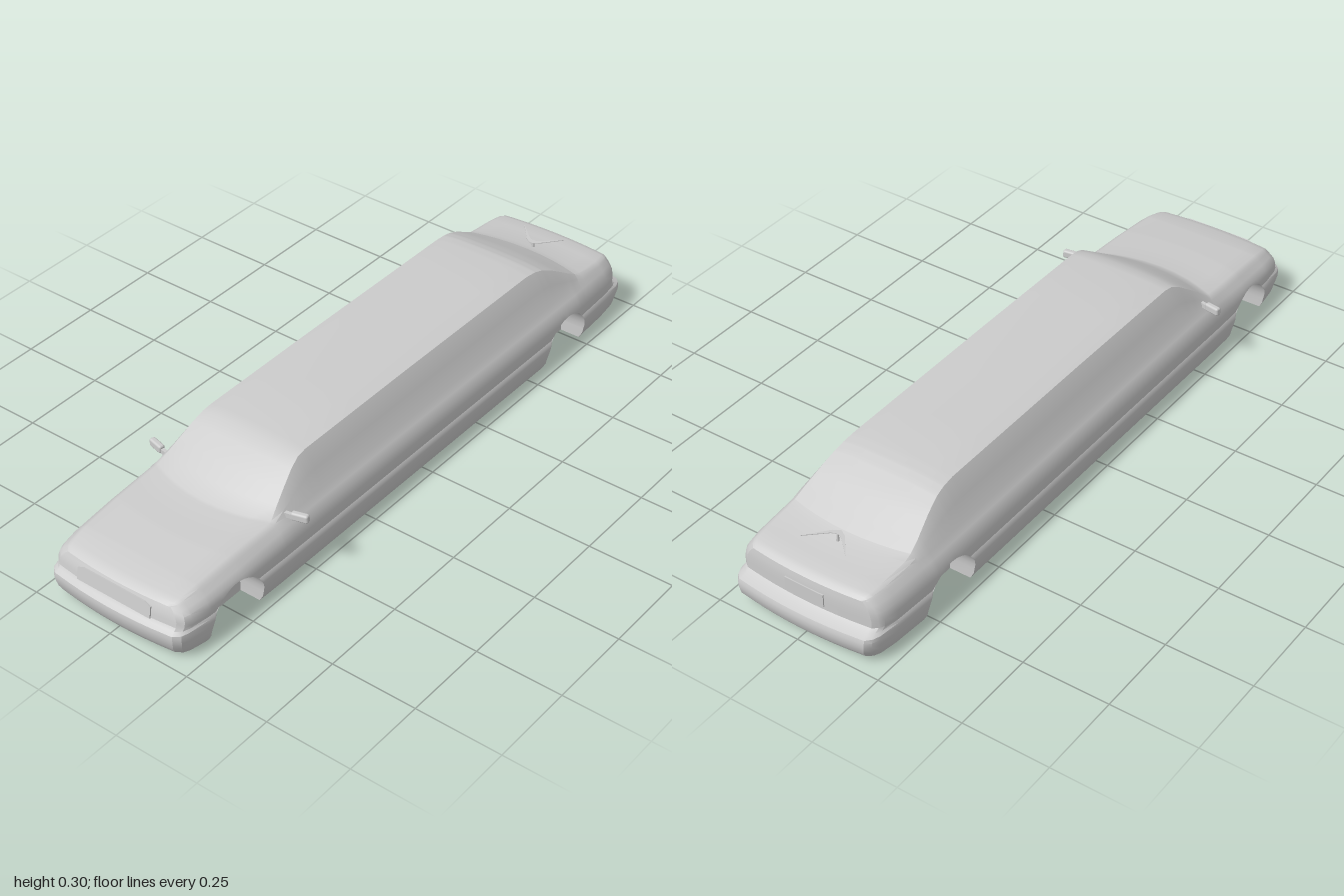
import * as THREE from 'three';
import { toCreasedNormals } from 'three/addons/utils/BufferGeometryUtils.js';
import { RoundedBoxGeometry } from 'three/addons/geometries/RoundedBoxGeometry.js';

const material = new THREE.MeshStandardMaterial({ color: 0xcccccc });
const thin = new THREE.MeshStandardMaterial({ color: 0xcccccc, side: THREE.DoubleSide });

// Linear lookup in rows [key, value, value...] sorted by key
function lookup(rows, k) {
  if (k <= rows[0][0]) return rows[0].slice(1);
  for (let i = 1; i < rows.length; i++) {
    if (k <= rows[i][0]) {
      const a = rows[i - 1], b = rows[i], t = (k - a[0]) / (b[0] - a[0]);
      return a.slice(1).map((v, n) => v + (b[n + 1] - v) * t);
    }
  }
  return rows[rows.length - 1].slice(1);
}

// Along the length: z, centre height, belt height, width factor, forward bow, floor height
const LENGTH = [
  [-1, .173, .173, .84, 0, .02], [-.985, .181, .174, .9, 0, .018], [-.96, .186, .176, .935, 0, .016],
  [-.88, .19, .178, .965, -.01, .01], [-.79, .197, .182, .985, -.03, .003], [-.765, .205, .183, .99, -.03, 0],
  [-.73, .226, .184, 1, -.025, 0], [-.67, .266, .185, 1, -.01, 0], [-.63, .288, .185, 1, 0, 0],
  [-.6, .297, .185, 1, 0, 0], [-.56, .302, .185, 1, 0, 0], [0, .304, .185, 1, 0, 0],
  [.42, .302, .185, 1, 0, 0], [.45, .297, .185, 1, .005, 0], [.48, .279, .185, 1, .015, 0],
  [.59, .191, .182, 1, .05, 0], [.6, .189, .178, 1, .05, 0], [.75, .182, .168, .99, .03, 0],
  [.88, .171, .158, .965, 0, .005], [.96, .16, .152, .93, 0, .012], [.985, .155, .149, .9, 0, .016],
  [1, .147, .147, .83, 0, .018],
];
// Body side: y, half width
const SIDE = [[0, .214], [.02, .225], [.04, .229], [.06, .234], [.075, .235], [.085, .234], [.092, .23],
  [.1, .231], [.125, .232], [.15, .227], [.17, .216], [.185, .203]];
// Greenhouse: half width on hood, half width on cabin, share of height
const TOP = [[.199, .185, .504], [.19, .155, .924], [.14, .13, .96], [.1, .1, .983], [.05, .05, .995], [0, 0, 1]];
// Bumper and nose/tail outline: y, z
const NOSE = [[0, .965], [.02, .98], [.04, .992], [.07, 1], [.085, .998], [.092, .986], [.1, .98], [.125, .976], [.15, .965]];
const TAIL = [[0, .965], [.02, .98], [.04, .994], [.07, 1], [.085, .995], [.092, .975], [.1, .962], [.15, .962], [.173, .958]];

// Wheel arches
const ARCHES = [.775, -.67], RADIUS = .095, SPRING = .036;
function archHeight(z) {
  for (const c of ARCHES) {
    const d = Math.abs(z - c);
    if (d <= RADIUS) return SPRING + Math.sqrt(RADIUS * RADIUS - d * d);
  }
  return 0;
}

// Half cross-section from the floor centre, round the wheel well and side, to the roof centre
function halfSection(z) {
  const [H, belt, w, bow, floor] = lookup(LENGTH, z);
  const arch = Math.max(floor, archHeight(z));
  const pts = [[0, floor], [.15, floor], [.15, arch]];
  const squash = (belt - .1) / .085;
  for (const [y] of SIDE) {
    const fitted = y > .1 ? .1 + (y - .1) * squash : y;
    const yy = Math.max(fitted, arch);
    const source = yy > .1 ? .1 + (yy - .1) / squash : yy;
    pts.push([lookup(SIDE, source)[0] * w, yy]);
  }
  const f = Math.min(1, (H - belt) / .117);
  for (const [hood, cabin, h] of TOP) pts.push([(hood + (cabin - hood) * f) * w, belt + (H - belt) * h]);
  return pts.map(([x, y], j) => {
    const bend = j >= 3 + SIDE.length - 1 ? bow * Math.max(0, 1 - (x / (.203 * w)) ** 2) : 0;
    return place(x, y, z, bend);
  });
}

// Push the ends out to the bumper outline, slightly curved in plan
function place(x, y, z, bend = 0) {
  const k = Math.max(0, (Math.abs(z) - .88) / .12);
  if (!k) return [x, y, z + bend];
  const end = lookup(z > 0 ? NOSE : TAIL, y)[0] - .015 * (x / .2) ** 2;
  return [x, y, Math.sign(z) * (.88 + k * (end - .88)) + bend];
}

const mirrorX = ([x, y, z]) => [-x, y, z];

function bodyGeometry() {
  const zs = new Set(LENGTH.map(r => r[0]));
  for (const c of ARCHES) {
    for (let i = 0; i <= 16; i++) zs.add(c + (RADIUS - 1e-6) * Math.cos(Math.PI * i / 16));
    zs.add(c - RADIUS - 2e-4).add(c + RADIUS + 2e-4);
  }
  for (const z of [-.4, -.2, .2, .52, .555]) zs.add(z);
  const stations = [...zs].sort((a, b) => a - b);
  const positions = [];
  const tri = (...p) => {
    const [a, b, c] = p.map(q => new THREE.Vector3(...q));
    if (b.clone().sub(a).cross(c.clone().sub(a)).length() > 1e-10) positions.push(...p.flat());
  };
  const grid = (rows, flip) => {
    for (let i = 0; i + 1 < rows.length; i++) for (let j = 0; j + 1 < rows[i].length; j++) {
      const a = rows[i][j], b = rows[i][j + 1], c = rows[i + 1][j + 1], d = rows[i + 1][j];
      if (flip) { tri(a, c, b); tri(a, d, c); } else { tri(a, b, c); tri(a, c, d); }
    }
  };
  grid(stations.map(z => {
    const half = halfSection(z);
    return [...half, ...half.slice(0, -1).reverse().map(mirrorX)];
  }));
  // Front and rear faces
  for (const z of [-1, 1]) {
    const half = halfSection(z), last = 3 + SIDE.length;
    const beltX = half[last - 1][0];
    const shares = [1, ...half.slice(last).map(p => p[0] / beltX)];
    const columns = [...shares.map(s => -s), ...shares.slice(0, -1).reverse()];
    grid(half.slice(3, last).map(p => columns.map(s => place(p[0] * s, p[1], z))), z < 0);
  }
  const g = new THREE.BufferGeometry();
  g.setAttribute('position', new THREE.Float32BufferAttribute(positions, 3));
  // Enlarged while merging normals, so close vertices stay apart
  g.scale(1000, 1000, 1000);
  return toCreasedNormals(g, .48).scale(.001, .001, .001);
}

function add(parent, name, geometry, x = 0, y = 0, z = 0, mat = material) {
  const mesh = new THREE.Mesh(geometry, mat);
  mesh.name = name;
  mesh.position.set(x, y, z);
  parent.add(mesh);
  return mesh;
}

function flatShape(points, depth) {
  const shape = new THREE.Shape(points.map(p => new THREE.Vector2(...p)));
  return new THREE.ExtrudeGeometry(shape, { depth, bevelEnabled: false });
}

export function createModel() {
  const car = new THREE.Group();
  car.name = 'limousine';
  add(car, 'body', bodyGeometry());

  // Door mirrors
  for (const s of [-1, 1]) {
    const side = new THREE.Group();
    side.name = s > 0 ? 'leftMirror' : 'rightMirror';
    const housing = add(side, 'mirrorHousing', new RoundedBoxGeometry(.048, .024, .018, 3, .006), s * .238, .194, .545);
    housing.rotation.set(0, s * .22, s * .05);
    const arm = add(side, 'mirrorArm', new THREE.BoxGeometry(.032, .014, .01), s * .206, .19, .552);
    arm.rotation.y = s * .2;
    car.add(side);
  }

  // Grille panel, following the lean of the nose
  const grille = flatShape([[-.12, .1], [.12, .1], [.12, .134], [.1, .142], [-.1, .142], [-.12, .134]], .004);
  grille.translate(0, -.1, 0);
  add(car, 'grille', grille, 0, .1, .9765).rotation.x = -.16;

  // Number plate panel
  add(car, 'rearPlatePanel', new THREE.BoxGeometry(.12, .038, .004), 0, .129, -.962);

  // Boomerang aerial on the boot lid
  const aerial = new THREE.Group();
  aerial.name = 'aerial';
  const wing = flatShape([[0, -.81], [.02, -.822], [.07, -.882], [.016, -.832], [0, -.825],
    [-.016, -.832], [-.07, -.882], [-.02, -.822]], .002);
  wing.rotateX(Math.PI / 2).scale(1, 1, 1);
  add(aerial, 'aerialWing', wing, 0, .218, 0, thin);
  add(aerial, 'aerialPost', new THREE.CylinderGeometry(.003, .005, .03, 10), 0, .203, -.826);
  car.add(aerial);
  return car;
}
